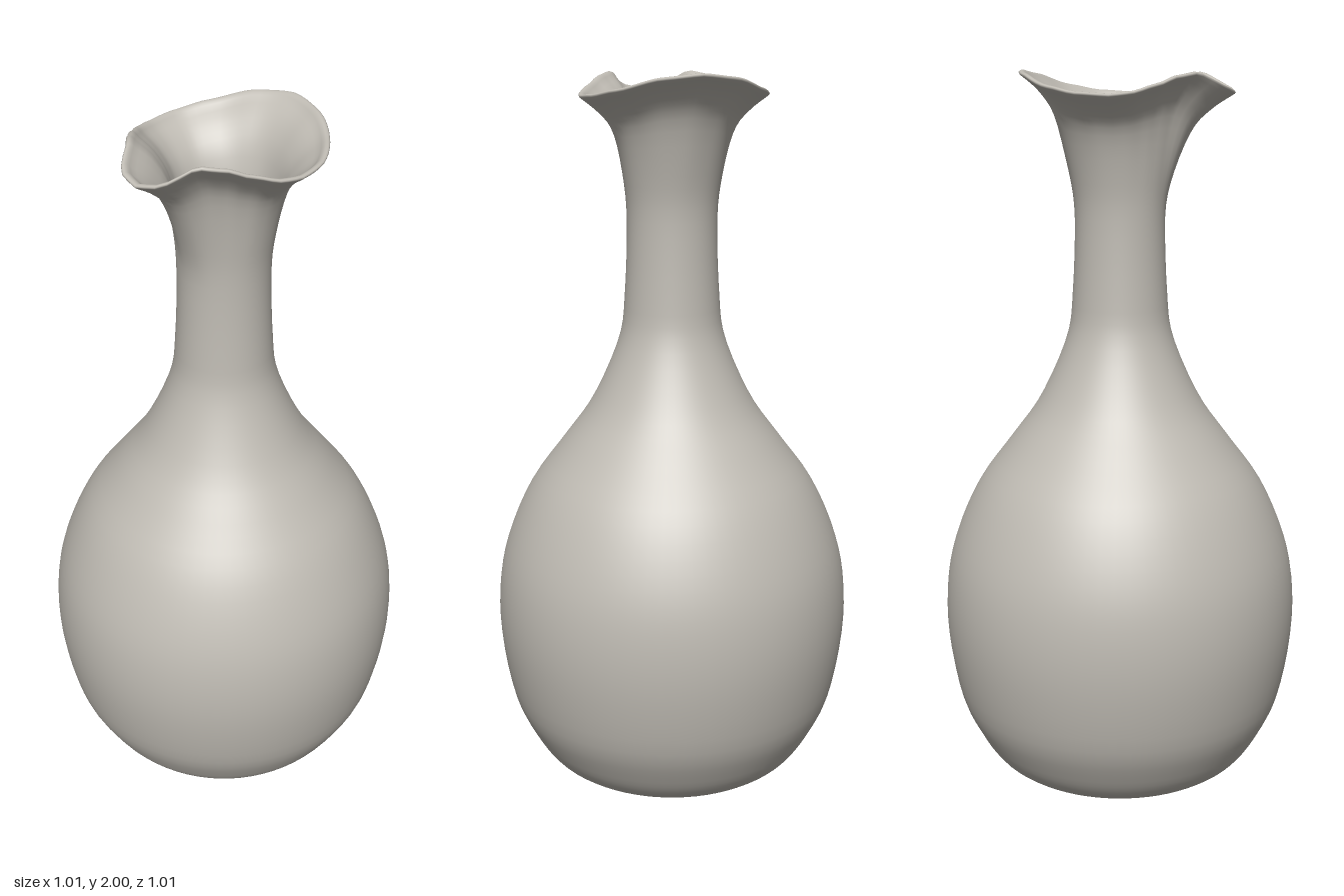
import * as THREE from 'three';
import { mergeVertices } from 'three/addons/utils/BufferGeometryUtils.js';

// Rim stations: angle from the spout (degrees), radius, height
const RIM = [
  [0, 0.312, 1.945], [10, 0.305, 1.955], [28, 0.25, 1.995], [44, 0.235, 1.985], [59, 0.235, 1.965],
  [78, 0.25, 1.945], [90, 0.256, 1.94], [110, 0.262, 1.945], [130, 0.262, 1.96],
  [158, 0.267, 1.99], [180, 0.275, 2.0],
];

// Smoothly blended rim radius and height at an angle
function rimAt(deg) {
  let i = 0;
  while (i < RIM.length - 2 && deg > RIM[i + 1][0]) i++;
  const a = RIM[i], b = RIM[i + 1];
  const t = THREE.MathUtils.smoothstep(deg, a[0], b[0]) * 0.5 + 0.5 * (deg - a[0]) / (b[0] - a[0]);
  return [a[1] + (b[1] - a[1]) * t, a[2] + (b[2] - a[2]) * t];
}

const spline = (pts, n) =>
  new THREE.SplineCurve(pts.map(([x, y]) => new THREE.Vector2(x, y))).getPoints(n);

export function createModel() {
  const model = new THREE.Group();
  const clay = new THREE.MeshStandardMaterial({ color: 0xbfbbb3 });
  clay.name = 'warm grey clay';

  // Hollowed foot, outer wall, rounded lip, then the inner wall down to the floor
  const foot = spline([[0, 0.035], [0.2, 0.03], [0.27, 0.012], [0.3, 0.002]], 8);
  const outer = spline([
    [0.31, 0.001], [0.345, 0.02], [0.38, 0.05], [0.42, 0.11], [0.47, 0.22], [0.502, 0.4], [0.502, 0.56],
    [0.472, 0.7], [0.405, 0.85], [0.31, 0.98], [0.225, 1.1], [0.15, 1.27], [0.132, 1.4],
    [0.125, 1.6], [0.136, 1.72], [0.165, 1.85], [0.205, 1.91], [0.255, 1.952],
  ], 64);
  const lip = spline([[0.257, 1.956], [0.253, 1.96], [0.245, 1.96], [0.236, 1.952]], 5);
  const inner = spline([
    [0.23, 1.945], [0.185, 1.905], [0.145, 1.84], [0.116, 1.72], [0.105, 1.6], [0.11, 1.4],
    [0.13, 1.27], [0.2, 1.1], [0.285, 0.98], [0.38, 0.85], [0.447, 0.7], [0.477, 0.5],
    [0.445, 0.22], [0.36, 0.08], [0.2, 0.06], [0, 0.06],
  ], 52);
  let body = new THREE.LatheGeometry([...foot, ...outer, ...lip, ...inner], 72);

  // Pull the flared mouth into a pinched spout with a wavy rim
  const pos = body.attributes.position;
  for (let i = 0; i < pos.count; i++) {
    const x = pos.getX(i), y = pos.getY(i), z = pos.getZ(i);
    if (y < 1.6) continue;
    const [r, h] = rimAt(THREE.MathUtils.radToDeg(Math.abs(Math.atan2(x, z))));
    const s = 1 + (r / 0.256 - 1) * THREE.MathUtils.smoothstep(y, 1.6, 1.9);
    const lift = (h - 1.96) * THREE.MathUtils.smoothstep(y, 1.75, 1.96);
    pos.setXYZ(i, x * s, y + lift, z * s);
  }

  // Weld the seam for continuous smooth shading
  body.deleteAttribute('uv');
  body.deleteAttribute('normal');
  body = mergeVertices(body, 1e-5);
  body.computeVertexNormals();

  const mesh = new THREE.Mesh(body, clay);
  mesh.name = 'jugBody';
  model.add(mesh);
  return model;
}
